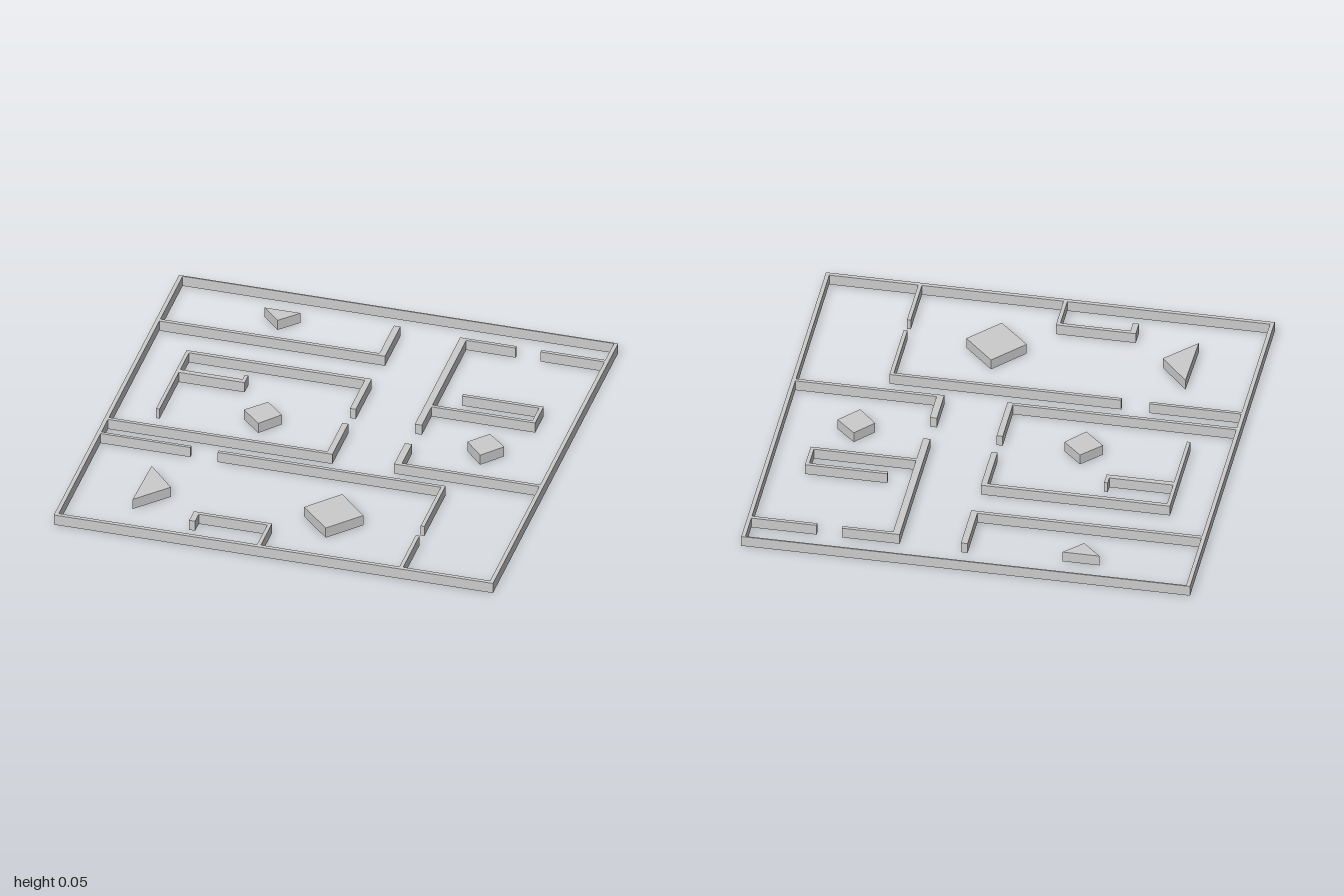
import * as THREE from 'three';

const HEIGHT = 0.05;
const material = new THREE.MeshStandardMaterial({ color: 0xcccccc, flatShading: true });

// Straight wall standing on the ground, given its footprint edges.
function wall(x0, x1, z0, z1) {
  const geometry = new THREE.BoxGeometry(x1 - x0, HEIGHT, z1 - z0);
  geometry.translate((x0 + x1) / 2, HEIGHT / 2, (z0 + z1) / 2);
  return new THREE.Mesh(geometry, material);
}

// Solid block with a polygonal footprint of [x, z] corners.
function block(name, corners) {
  const shape = new THREE.Shape(corners.map(([x, z]) => new THREE.Vector2(x, -z)));
  const geometry = new THREE.ExtrudeGeometry(shape, { depth: HEIGHT, bevelEnabled: false });
  geometry.rotateX(-Math.PI / 2);
  const mesh = new THREE.Mesh(geometry, material);
  mesh.name = name;
  return mesh;
}

// Wall footprints per area: [x0, x1, z0, z1]; neighbours butt together at corners.
const AREAS = {
  outerWalls: [
    [-1, -0.982, -1, 1],
    [0.982, 1, -1, 1],
    [-0.982, 0.982, -1, -0.994],
    [-0.982, 0.982, 0.982, 1],
  ],
  backLeftCorridor: [
    [-0.982, 0.016, -0.638, -0.621],
    [0.016, 0.046, -0.868, -0.621],
  ],
  centreRoom: [
    [-0.803, 0.04, -0.43, -0.412],
    [-0.803, -0.787, -0.412, 0.056],
    [0.013, 0.04, -0.412, -0.177],
    [0.013, 0.04, 0.056 - 0.112, 0.198],
    [-0.982, 0.013, 0.182, 0.198],
  ],
  centreRoomAlcove: [
    [-0.787, -0.487, -0.273, -0.249],
    [-0.503, -0.487, -0.31, -0.273],
  ],
  sideRoom: [
    [0.321, 0.353, -0.857, -0.134],
    [0.321, 0.353, 0.024, 0.198],
    [0.353, 0.578, -0.857, -0.841],
    [0.691, 0.982, -0.857, -0.841],
    [0.353, 0.982, 0.182, 0.198],
  ],
  sideRoomAlcove: [
    [0.458, 0.825, -0.423, -0.407],
    [0.808, 0.825, -0.407, -0.303],
    [0.353, 0.825, -0.303, -0.287],
  ],
  frontRoom: [
    [-0.982, -0.573, 0.302, 0.316],
    [-0.447, 0.586, 0.305, 0.321],
    [0.569, 0.586, 0.321, 0.643],
    [0.569, 0.586, 0.72, 0.982],
  ],
  frontRoomAlcove: [
    [-0.418, -0.062, 0.803, 0.82],
    [-0.418, -0.391, 0.82, 0.878],
    [-0.079, -0.062, 0.82, 0.982],
  ],
};

export function createModel() {
  const model = new THREE.Group();
  model.name = 'floorPlan';

  // Walls
  for (const [name, footprints] of Object.entries(AREAS)) {
    const area = new THREE.Group();
    area.name = name;
    footprints.forEach((f, i) => {
      const mesh = wall(...f);
      mesh.name = `${name}Wall${i + 1}`;
      area.add(mesh);
    });
    model.add(area);
  }

  // Free-standing blocks
  model.add(
    block('centreRoomBlock', [[-0.431, -0.04], [-0.345, -0.129], [-0.26, -0.046], [-0.34, 0.048]]),
    block('sideRoomBlock', [[0.581, -0.062], [0.659, -0.15], [0.747, -0.067], [0.664, 0.027]]),
    block('frontRoomBlock', [[0.037, 0.637], [0.169, 0.493], [0.305, 0.632], [0.174, 0.774]]),
    block('backTriangleBlock', [[-0.568, -0.852], [-0.404, -0.852], [-0.485, -0.769]]),
    block('frontTriangleBlock', [[-0.696, 0.503], [-0.568, 0.645], [-0.702, 0.785]]),
  );
  return model;
}
